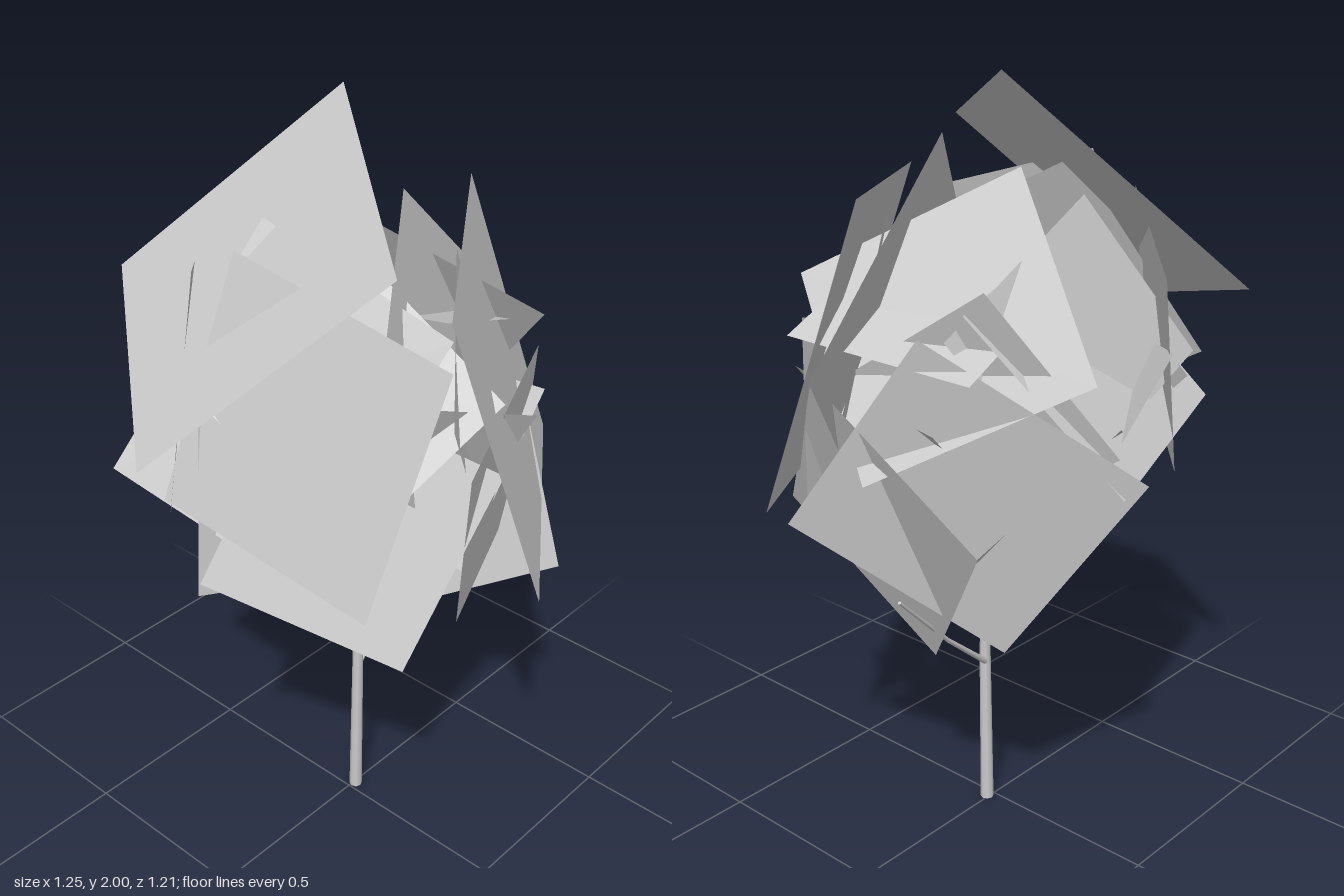
import * as THREE from 'three';

const V = (p) => new THREE.Vector3(...p);

export function createModel() {
  const tree = new THREE.Group();
  tree.name = 'tree';
  const bark = new THREE.MeshStandardMaterial({ color: 0xcccccc });
  const leaf = new THREE.MeshStandardMaterial({ color: 0xcccccc, side: THREE.DoubleSide });
  const foliage = new THREE.Group();
  foliage.name = 'foliage';
  tree.add(foliage);

  // Flat leaf card from one corner and its two neighbouring corners
  function card(name, corner, a, b) {
    const o = V(corner), u = V(a).sub(o), v = V(b).sub(o);
    const geo = new THREE.PlaneGeometry(1, 1);
    geo.translate(0.5, 0.5, 0);
    const n = u.clone().cross(v).normalize();
    geo.applyMatrix4(new THREE.Matrix4().makeBasis(u, v, n).setPosition(o));
    geo.computeVertexNormals();
    const mesh = new THREE.Mesh(geo, leaf);
    mesh.name = name;
    foliage.add(mesh);
  }

  // Tapered limb through a list of points
  function limb(name, points, r0, r1) {
    const g = new THREE.Group();
    g.name = name;
    const count = points.length - 1;
    for (let i = 0; i < count; i++) {
      const a = V(points[i]), b = V(points[i + 1]), d = b.clone().sub(a);
      const rad = (t) => r0 + (r1 - r0) * t / count;
      const mesh = new THREE.Mesh(
        new THREE.CylinderGeometry(rad(i + 1), rad(i), d.length(), 8), bark);
      mesh.name = name + 'Segment';
      mesh.position.copy(a).add(b).multiplyScalar(0.5);
      mesh.quaternion.setFromUnitVectors(new THREE.Vector3(0, 1, 0), d.normalize());
      g.add(mesh);
    }
    tree.add(g);
  }

  // Trunk and branches
  limb('trunk', [[0.022, 0, 0.006], [0.022, 0.45, 0.012], [0.025, 0.75, 0.005], [0, 1.1, 0.02], [0.02, 1.4, 0]], 0.018, 0.006);
  limb('lowBranch', [[0.03, 0.43, 0.005], [0.2, 0.57, -0.02], [0.41, 0.77, -0.06]], 0.008, 0.004);
  limb('rightBranch', [[0.02, 0.72, 0.005], [-0.15, 0.86, 0.05], [-0.38, 1.05, 0.08]], 0.008, 0.004);
  limb('leftBranch', [[0.02, 0.75, 0.005], [0.18, 0.88, 0.1], [0.33, 1.12, 0.2]], 0.008, 0.004);
  limb('backBranch', [[0.02, 0.85, 0.01], [0.02, 1.05, -0.15], [0.05, 1.25, -0.3]], 0.008, 0.004);

  // Outer leaf cards
  card('crownLeaf', [-0.29, 1.81, 0.39], [0.155, 2.0, -0.16], [-0.63, 1.33, -0.06]);
  card('frontLeaf', [0, 0.96, 0.6], [0.62, 1.01, 0.16], [-0.17, 1.69, 0.44]);
  card('lowBackLeaf', [0.21, 0.61, -0.22], [0.1, 1.11, -0.555], [0.54, 0.95, 0.18]);
  card('lowSideLeaf', [0.225, 0.53, 0], [0.44, 0.98, -0.34], [0.275, 0.86, 0.47]);
  card('lowInnerLeaf', [-0.04, 0.59, 0.08], [-0.36, 0.95, -0.17], [0.36, 0.84, -0.18]);
  card('upperFrontLeaf', [0.61, 1.36, 0], [0.07, 1.83, 0.1], [0.22, 0.86, 0.25]);
  card('upperSideLeaf', [0.19, 1.35, -0.47], [0.04, 1.77, -0.12], [0.48, 1.08, -0.02]);
  card('backLeaf', [0.13, 1.07, -0.51], [0.33, 1.49, -0.2], [-0.4, 1.16, -0.37]);
  card('upperBackLeaf', [-0.03, 1.55, -0.49], [-0.34, 1.68, -0.17], [-0.2, 1.02, -0.42]);
  card('rightLeaf', [-0.39, 1.01, 0.4], [-0.5, 1.17, -0.13], [-0.21, 1.6, 0.48]);
  card('rightBackLeaf', [-0.54, 1.22, -0.26], [-0.16, 1.77, -0.12], [-0.36, 0.98, 0.16]);
  card('lowRightLeaf', [-0.23, 0.77, 0.38], [0.05, 1.22, 0.44], [-0.52, 1.0, 0]);
  card('midRightLeaf', [-0.51, 0.95, -0.02], [-0.02, 0.83, 0.1], [-0.42, 1.46, -0.08]);
  card('lowFrontLeaf', [0, 0.78, 0.36], [0.46, 0.9, 0.2], [-0.1, 1.28, 0.46]);

  // Inner leaf cards, spread around the crown with a small seeded jitter
  let seed = 7;
  const rnd = () => ((seed = (seed * 16807) % 2147483647) / 2147483647) - 0.5;
  const inner = 9;
  for (let i = 0; i < inner; i++) {
    const h = 0.8 - 1.5 * (i + 0.5) / inner, ang = i * 2.4, s = Math.sqrt(1 - h * h);
    const n = new THREE.Vector3(Math.cos(ang) * s, h, Math.sin(ang) * s);
    const c = n.clone().multiplyScalar(0.3).add(V([0, 1.25, 0]));
    n.add(V([rnd(), rnd(), rnd()]).multiplyScalar(0.7)).normalize();
    const u = V([rnd(), rnd(), rnd()]).cross(n).setLength(0.25);
    const v = n.clone().cross(u);
    const at = (p, q) => c.clone().addScaledVector(u, p).addScaledVector(v, q).toArray();
    card('innerLeaf', at(-1, -1), at(1, -1), at(-1, 1));
  }
  return tree;
}
